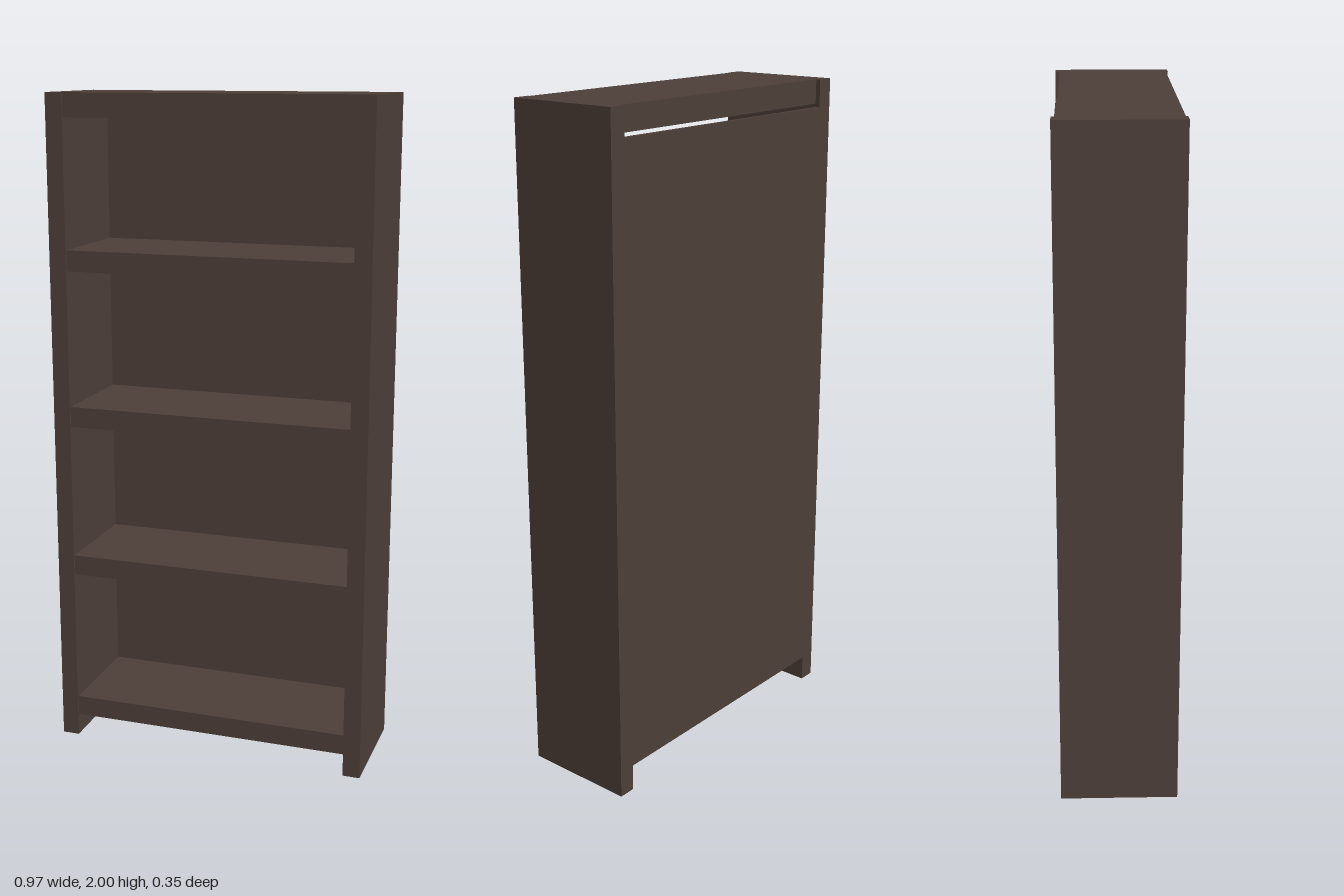
import * as THREE from 'three';

export function createModel() {
  const group = new THREE.Group();
  const darkWood = new THREE.MeshStandardMaterial({ color: 0x4d3f39 });
  darkWood.name = 'darkWood';

  // Adds a board given its extents on each axis
  const board = (name, [x0, x1], [y0, y1], [z0, z1]) => {
    const mesh = new THREE.Mesh(new THREE.BoxGeometry(x1 - x0, y1 - y0, z1 - z0), darkWood);
    mesh.position.set((x0 + x1) / 2, (y0 + y1) / 2, (z0 + z1) / 2);
    mesh.name = name;
    group.add(mesh);
  };

  const outer = 0.4855, inner = 0.4335, depth = 0.173;
  const backFace = -0.159, shelfFront = 0.167;
  const span = [-inner, inner];

  // Full-height sides, reaching the floor as feet
  board('leftSide', [inner, outer], [0, 2], [-depth, depth]);
  board('rightSide', [-outer, -inner], [0, 2], [-depth, depth]);

  // Four evenly spaced shelves, set back slightly from the front
  for (let i = 0; i < 4; i++) {
    const y = 0.067 + i * 0.473;
    board(`shelf${i + 1}`, span, [y, y + 0.062], [backFace, shelfFront]);
  }

  // Top board, with a narrow gap above the back panel
  board('topBoard', span, [1.929, 2], [backFace, shelfFront]);
  board('backPanel', span, [0.08, 1.919], [-depth, backFace]);

  return group;
}
